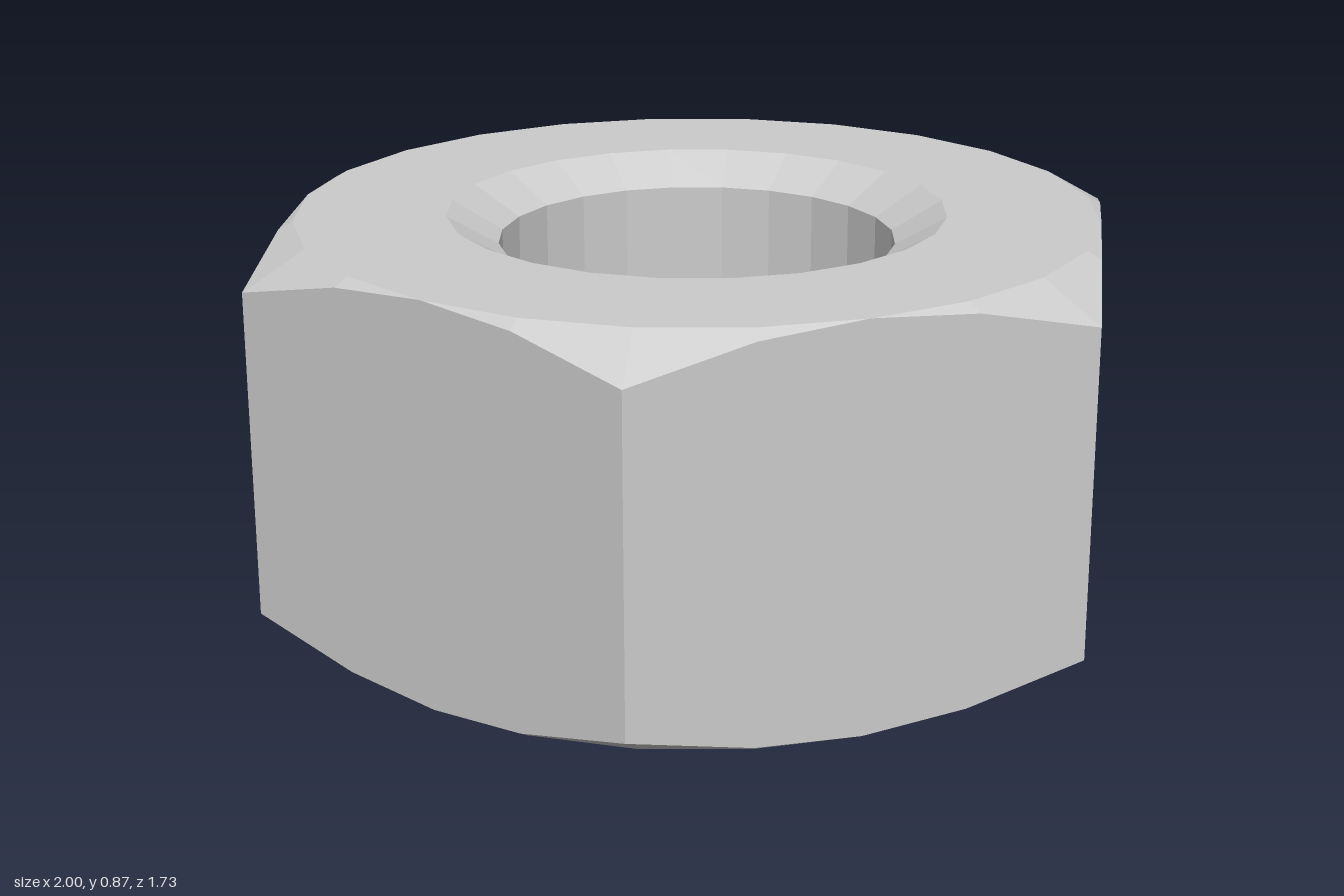
import * as THREE from 'three';

const SEGMENTS = 24;
const APOTHEM = Math.sqrt(3) / 2; // centre to flat; corners lie at radius 1
const HEIGHT = 0.866;
const BORE = 0.43;
const BORE_RIM = 0.54;
const SLOPE = Math.tan(Math.PI / 6); // chamfers fall at 30 degrees

// Radius of the hexagon at an angle, with flats facing front and back (+z, -z)
function hexRadius(angle) {
  const sector = Math.PI / 3;
  return APOTHEM / Math.cos(angle - Math.round(angle / sector) * sector);
}

export function createModel() {
  const group = new THREE.Group();
  group.name = 'hexNut';

  // Closed section: outer wall upward, top face, bore downward, bottom face
  const dip = (BORE_RIM - BORE) * SLOPE;
  const profile = [
    [BORE_RIM, 0],
    [APOTHEM, 0],
    [1, 0], // lower wall edge, shaped below
    [1, HEIGHT], // upper wall edge, shaped below
    [APOTHEM, HEIGHT],
    [BORE_RIM, HEIGHT],
    [BORE, HEIGHT - dip],
    [BORE, dip],
    [BORE_RIM, 0],
  ].map(([r, y]) => new THREE.Vector2(r, y));
  const lathe = new THREE.LatheGeometry(profile, SEGMENTS);

  // Push the wall edges out to the hexagon, dipping along the conical chamfer
  const pos = lathe.attributes.position;
  for (let s = 0; s <= SEGMENTS; s++) {
    const angle = (s / SEGMENTS) * Math.PI * 2;
    const r = hexRadius(angle);
    const drop = (r - APOTHEM) * SLOPE;
    [[2, drop], [3, HEIGHT - drop]].forEach(([p, y]) => {
      pos.setXYZ(s * profile.length + p, r * Math.sin(angle), y, r * Math.cos(angle));
    });
  }

  const geometry = lathe.toNonIndexed();
  geometry.computeVertexNormals();

  const nut = new THREE.Mesh(
    geometry,
    new THREE.MeshStandardMaterial({ color: 0xcccccc, flatShading: true })
  );
  nut.name = 'nutBody';
  group.add(nut);
  return group;
}
